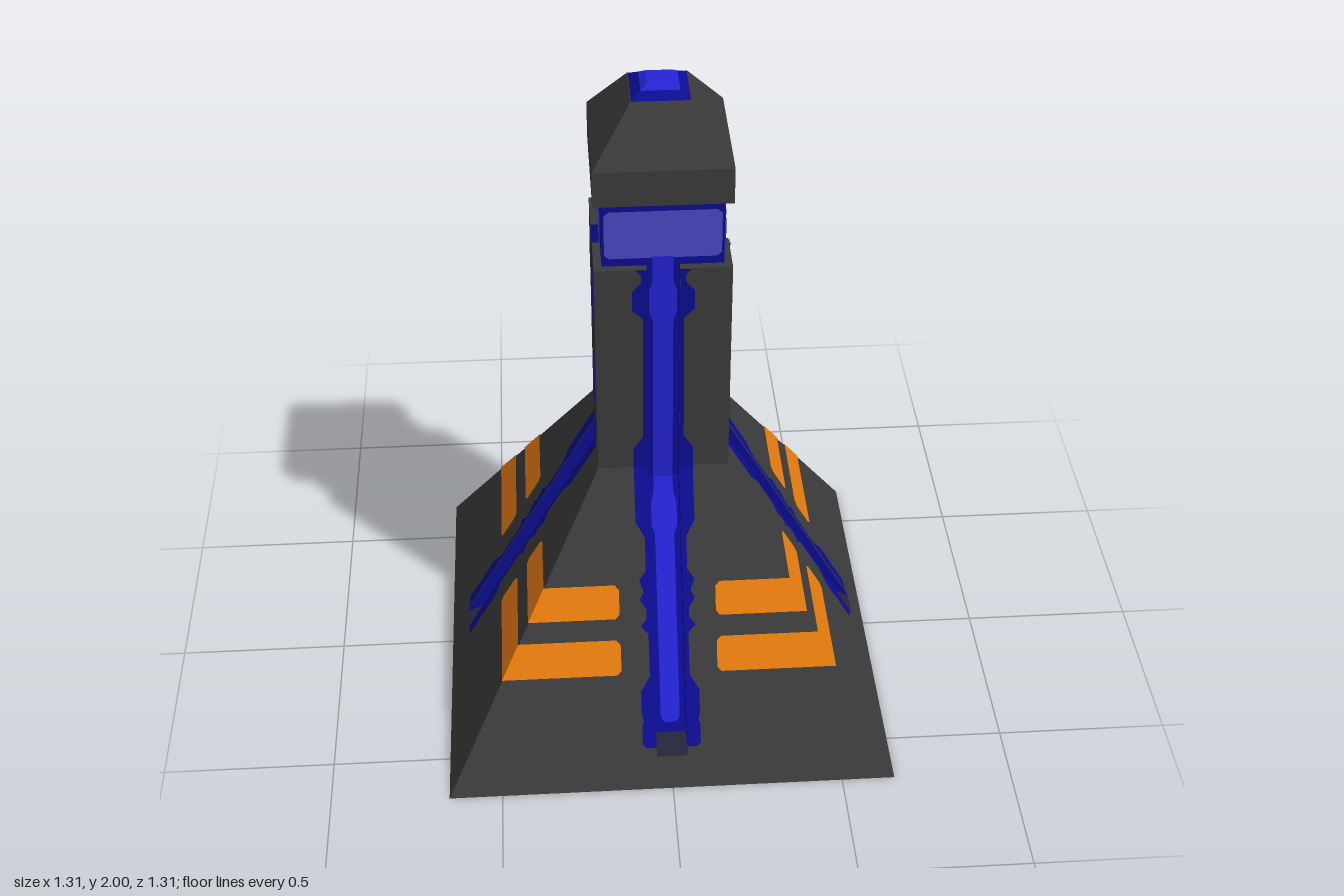
import * as THREE from 'three';

const mat = (name, color) => {
  const m = new THREE.MeshStandardMaterial({ color, side: THREE.DoubleSide });
  m.name = name;
  return m;
};

export function createModel() {
  const stone = mat('dark stone', 0x3b3b3b);
  const navy = mat('navy glow', 0x0c0c92);
  const blue = mat('bright blue', 0x2424d6);
  const lilac = mat('pale blue window', 0x4a4ac8);
  const orange = mat('orange stripe', 0xee800f);
  const slate = mat('slate', 0x25253a);

  const BASE = 0.655, SHAFT = 0.187, NECK = 0.165;
  const KINK = 0.84, TOP = 1.52, FOOT = 0.085, GROOVE = 0.045;
  const FLOOR_FOOT = 0.115, FLOOR_KINK = 0.788;

  // Depth of the outer wall and of the groove floor at height y
  const wall = (y) => (y < KINK ? BASE - ((BASE - SHAFT) * y) / KINK : SHAFT);
  const floor = (y) => (y < FLOOR_KINK
    ? 0.54 - ((0.54 - NECK) * (y - FLOOR_FOOT)) / (FLOOR_KINK - FLOOR_FOOT) : NECK);

  const add = (parent, name, geo, material) => {
    const mesh = new THREE.Mesh(geo, material);
    mesh.name = name;
    parent.add(mesh);
    return mesh;
  };

  // Mirrored bands from rows of [y, inner x, outer x], laid on a depth rule
  const strip = (rows, depth, lift = 0) => {
    const p = [];
    for (let i = 0; i + 1 < rows.length; i++) {
      const [y0, a0, b0] = rows[i], [y1, a1, b1] = rows[i + 1];
      const z0 = depth(y0) + lift, z1 = depth(y1) + lift;
      for (const c of [[a0, b0, b1, a1], [-b0, -a0, -a1, -b1]]) {
        const v = [[c[0], y0, z0], [c[1], y0, z0], [c[2], y1, z1], [c[3], y1, z1]];
        for (const k of [0, 1, 2, 0, 2, 3]) p.push(...v[k]);
      }
    }
    const g = new THREE.BufferGeometry();
    g.setAttribute('position', new THREE.Float32BufferAttribute(p, 3));
    g.computeVertexNormals();
    return g;
  };

  // Square tapered block with flat faces
  const block = (bottom, top, y0, y1) => {
    const g = new THREE.CylinderGeometry(top * Math.SQRT2, bottom * Math.SQRT2, y1 - y0, 4)
      .rotateY(Math.PI / 4).translate(0, (y0 + y1) / 2, 0).toNonIndexed();
    g.computeVertexNormals();
    return g;
  };

  const bodyRows = [[FOOT, GROOVE, wall(FOOT)], [KINK, GROOVE, SHAFT], [TOP, GROOVE, SHAFT]];

  // Stepped glow outline on both sides of the groove
  const glowRows = [
    [0.11, 0.075], [0.12, 0.085], [0.17, 0.085], [0.18, 0.08], [0.2, 0.085], [0.26, 0.085],
    [0.3, 0.058], [0.41, 0.058], [0.43, 0.08], [0.45, 0.062], [0.475, 0.062], [0.5, 0.08],
    [0.52, 0.068], [0.55, 0.08], [0.575, 0.06], [0.66, 0.06], [0.7, 0.085], [KINK, 0.085],
    [0.91, 0.085], [0.95, 0.058], [1.36, 0.056], [1.39, 0.085], [1.45, 0.085],
    [1.48, 0.06], [1.5, 0.06], [TOP, 0.075],
  ].map(([y, w]) => [y, GROOVE, w]);

  // Bright channel in the groove floor
  const channelRows = [
    [0.145, 0.018], [0.16, 0.028], [0.64, 0.028], [0.66, 0.037], [0.72, 0.037], [0.75, 0.028],
    [FLOOR_KINK, 0.028], [1.34, 0.028], [1.37, 0.038], [1.44, 0.038], [1.47, 0.028], [1.55, 0.028],
  ].map(([y, w]) => [y, 0, w]);

  // Groove cheek profile, drawn as (depth, height)
  const cheek = new THREE.Shape([
    [wall(FOOT), FOOT], [SHAFT, KINK], [SHAFT, TOP], [NECK, TOP],
    [NECK, FLOOR_KINK], [0.54, FLOOR_FOOT],
  ].map(([z, y]) => new THREE.Vector2(z, y)));

  const stripeRows = (y0, y1) => [[y0, 0.152], [y0 + 0.012, 0.14], [y1 - 0.012, 0.14], [y1, 0.152]]
    .map(([y, a]) => [y, a, wall(y) + 0.003]);

  const ledge = () => {
    const g = strip([[0, GROOVE, SHAFT], [1, GROOVE, NECK]], (t) => SHAFT + t * (NECK - SHAFT));
    const p = g.attributes.position;
    for (let i = 0; i < p.count; i++) p.setY(i, TOP);
    g.computeVertexNormals();
    return g;
  };

  const makeSide = () => {
    const s = new THREE.Group();
    add(s, 'bodyFoot', strip([[0, 0, BASE], [FOOT, 0, wall(FOOT)]], wall), stone);
    add(s, 'bodyWall', strip(bodyRows, wall), stone);
    add(s, 'shaftLedge', ledge(), stone);
    add(s, 'glowOutline', strip(glowRows, wall, 0.003), navy);
    add(s, 'grooveFloor', strip([[FLOOR_FOOT, 0, GROOVE], [FLOOR_KINK, 0, GROOVE],
      [TOP, 0, GROOVE]], floor), navy);
    add(s, 'glowChannel', strip(channelRows, floor, 0.005), blue);
    add(s, 'grooveEnd', strip([[FOOT, 0, GROOVE], [FLOOR_FOOT, 0, GROOVE]],
      (y) => (y < 0.1 ? wall(FOOT) : 0.54)), slate);
    for (const x of [-GROOVE, GROOVE]) {
      const g = new THREE.ShapeGeometry(cheek).rotateY(-Math.PI / 2).translate(x, 0, 0);
      add(s, 'grooveCheek', g, navy);
    }
    add(s, 'lowerStripe', strip(stripeRows(0.305, 0.397), wall, 0.003), orange);
    add(s, 'upperStripe', strip(stripeRows(0.452, 0.54), wall, 0.003), orange);
    add(s, 'neckWindow', strip([[1.545, 0, 0.145], [1.557, 0, 0.158], [1.68, 0, 0.158],
      [1.692, 0, 0.145]], () => NECK, 0.003), lilac);
    return s;
  };

  const model = new THREE.Group();
  model.name = 'tower';
  for (let i = 0; i < 4; i++) {
    const s = makeSide();
    s.name = ['front', 'left', 'back', 'right'][i] + 'Side';
    s.rotation.y = (i * Math.PI) / 2;
    model.add(s);
  }

  // Underside, neck and cap
  add(model, 'underside', new THREE.PlaneGeometry(2 * BASE, 2 * BASE).rotateX(Math.PI / 2), stone);
  add(model, 'neck', block(NECK, NECK, TOP, 1.72), navy);
  add(model, 'capRim', block(SHAFT, SHAFT, 1.72, 1.825), stone);
  add(model, 'capRoof', block(SHAFT, 0.08, 1.825, 1.97), stone);
  add(model, 'tipBase', block(0.078, 0.052, 1.97, 1.987), navy);
  add(model, 'tipLight', block(0.052, 0.034, 1.987, 2), blue);
  return model;
}
